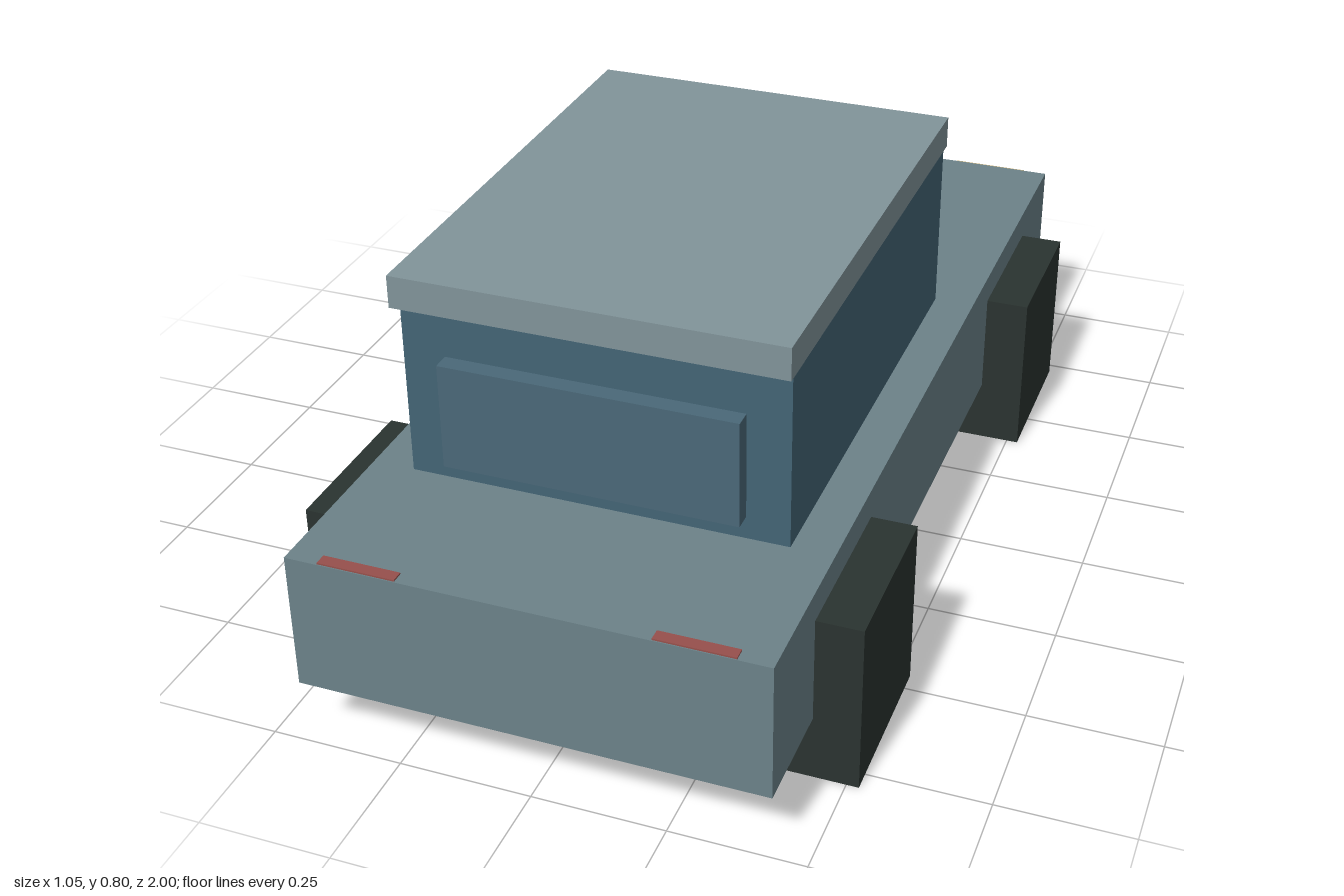
import * as THREE from 'three';

const paint = (color) => new THREE.MeshStandardMaterial({ color });

export function createModel() {
  const car = new THREE.Group();
  car.name = 'car';

  const bodyPaint = paint(0x6c8289);
  const cabinPaint = paint(0x436475);
  const roofPaint = paint(0x81949a);
  const glass = paint(0x4a6878);
  const rubber = paint(0x2a3330);
  const chrome = paint(0x9a9c93);
  const headlight = paint(0xc9b27c);
  const taillight = paint(0x97504c);

  // Box given by its lower and upper limits on each axis
  function box(name, material, [x0, x1], [y0, y1], [z0, z1]) {
    const mesh = new THREE.Mesh(new THREE.BoxGeometry(x1 - x0, y1 - y0, z1 - z0), material);
    mesh.position.set((x0 + x1) / 2, (y0 + y1) / 2, (z0 + z1) / 2);
    mesh.name = name;
    car.add(mesh);
  }

  // Hull, cabin and roof slab
  box('body', bodyPaint, [-0.437, 0.437], [0.128, 0.394], [-0.935, 1]);
  box('cabin', cabinPaint, [-0.357, 0.357], [0.394, 0.74], [-0.262, 0.68]);
  box('roof', roofPaint, [-0.363, 0.363], [0.738, 0.8], [-0.264, 0.708]);

  // Raised window panels at both ends of the cabin
  box('windshield', glass, [-0.295, 0.295], [0.455, 0.68], [-0.298, -0.25]);
  box('rearWindow', glass, [-0.277, 0.277], [0.438, 0.643], [0.67, 0.714]);

  // Bumper at the nose
  box('bumper', chrome, [-0.417, 0.417], [0.197, 0.282], [-1, -0.93]);

  // Wheels and lights, mirrored on both sides
  for (const [side, s] of [['left', 1], ['right', -1]]) {
    const span = (a, b) => (s > 0 ? [a, b] : [-b, -a]);
    box(side + 'NoseWheel', rubber, span(0.357, 0.523), [0, 0.335], [-0.722, -0.397]);
    box(side + 'TailWheel', rubber, span(0.357, 0.523), [0, 0.335], [0.462, 0.787]);
    box(side + 'Headlight', headlight, span(0.225, 0.385), [0.305, 0.39], [-0.946, -0.93]);
    box(side + 'Taillight', taillight, span(0.23, 0.375), [0.32, 0.397], [0.975, 0.998]);
  }
  return car;
}
